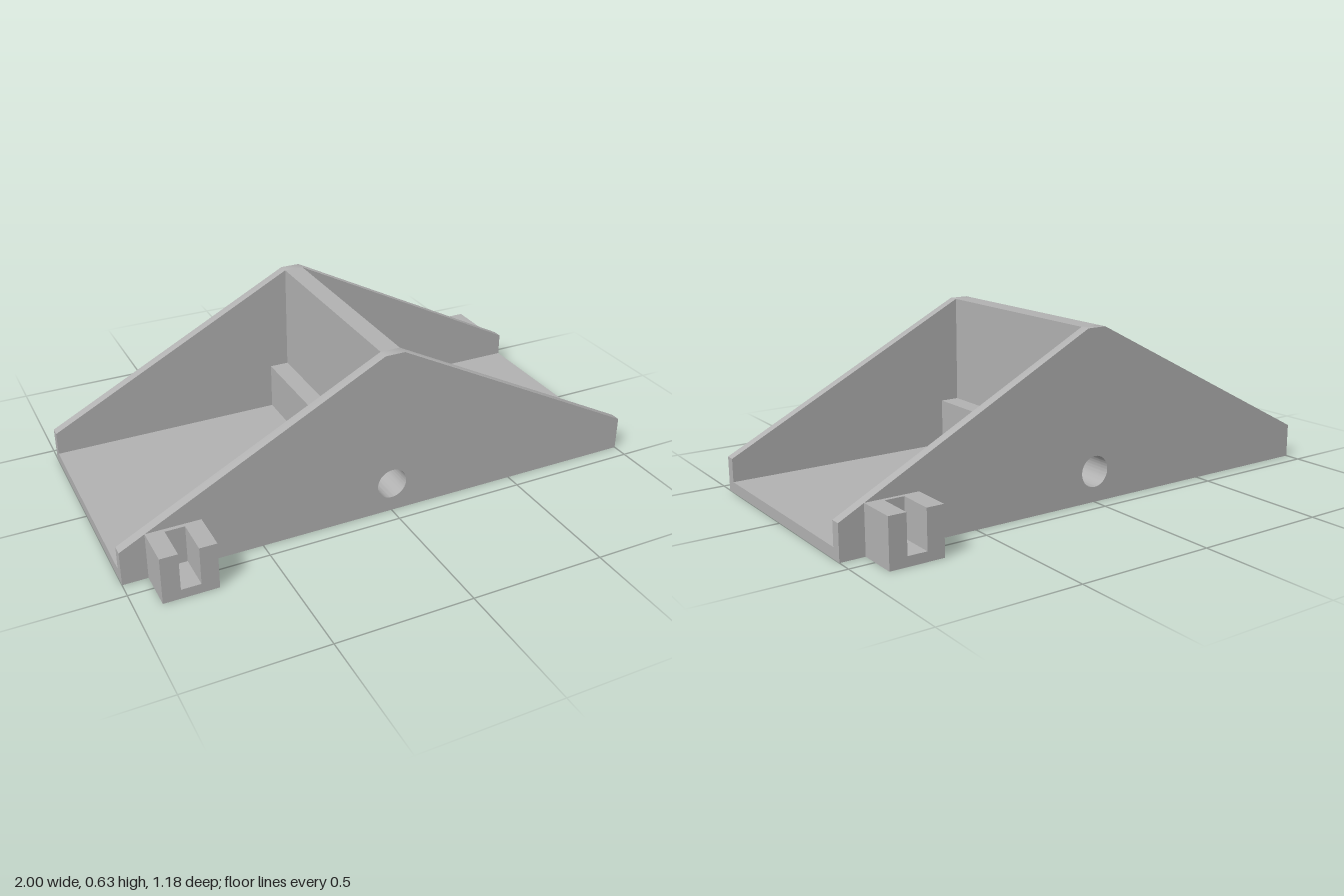
import * as THREE from 'three';
import { toCreasedNormals } from 'three/addons/utils/BufferGeometryUtils.js';

const grey = new THREE.MeshStandardMaterial({ color: 0xb2b2b2 });
grey.name = 'grey';

// Extrude an xy outline from z0 to z1, optionally with the axle hole
function slab(name, points, z0, z1, hole = false) {
  const shape = new THREE.Shape(points.map(([x, y]) => new THREE.Vector2(x, y)));
  if (hole) shape.holes.push(new THREE.Path().absarc(0, 0.112, 0.057, 0, Math.PI * 2, true));
  const geometry = new THREE.ExtrudeGeometry(shape, {
    depth: z1 - z0, bevelEnabled: false, curveSegments: 32,
  });
  geometry.translate(0, 0, z0);
  const mesh = new THREE.Mesh(toCreasedNormals(geometry, 0.6), grey);
  mesh.name = name;
  return mesh;
}

// Complete a left-right symmetric outline from its right half, bottom to top
const mirrored = (half) => [...half, ...half.map(([x, y]) => [-x, y]).reverse()];

// Slotted lug standing out from the front side plate
function createLug(name) {
  const lug = new THREE.Group();
  lug.name = name;
  const [x0, x1, s0, s1, top, base] = [-0.91, -0.715, -0.847, -0.777, 0.175, 0.035];
  lug.add(slab('lugBack', [[x0, 0], [x1, 0], [x1, top], [x0, top]], 0.44, 0.455));
  lug.add(slab('lugFork', [
    [x0, 0], [x1, 0], [x1, top], [s1, top], [s1, base], [s0, base], [s0, top], [x0, top],
  ], 0.455, 0.59));
  return lug;
}

export function createModel() {
  const model = new THREE.Group();
  model.name = 'rampBracket';

  // Floor, bored central block and dividing wall in one section
  const core = mirrored([[1, 0], [1, 0.04], [0.11, 0.04], [0.11, 0.22], [0.037, 0.22], [0.037, 0.627]]);
  model.add(slab('floorAndDivider', core, -0.402, 0.402, true));

  // Gabled side plates
  const gable = mirrored([[1, 0], [1, 0.128], [0.037, 0.627]]);
  model.add(slab('frontPlate', gable, 0.402, 0.44, true));
  model.add(slab('backPlate', gable, -0.44, -0.402, true));

  // Lugs at diagonally opposite corners
  const backLug = createLug('backLug');
  backLug.rotation.y = Math.PI;
  model.add(createLug('frontLug'), backLug);

  return model;
}
